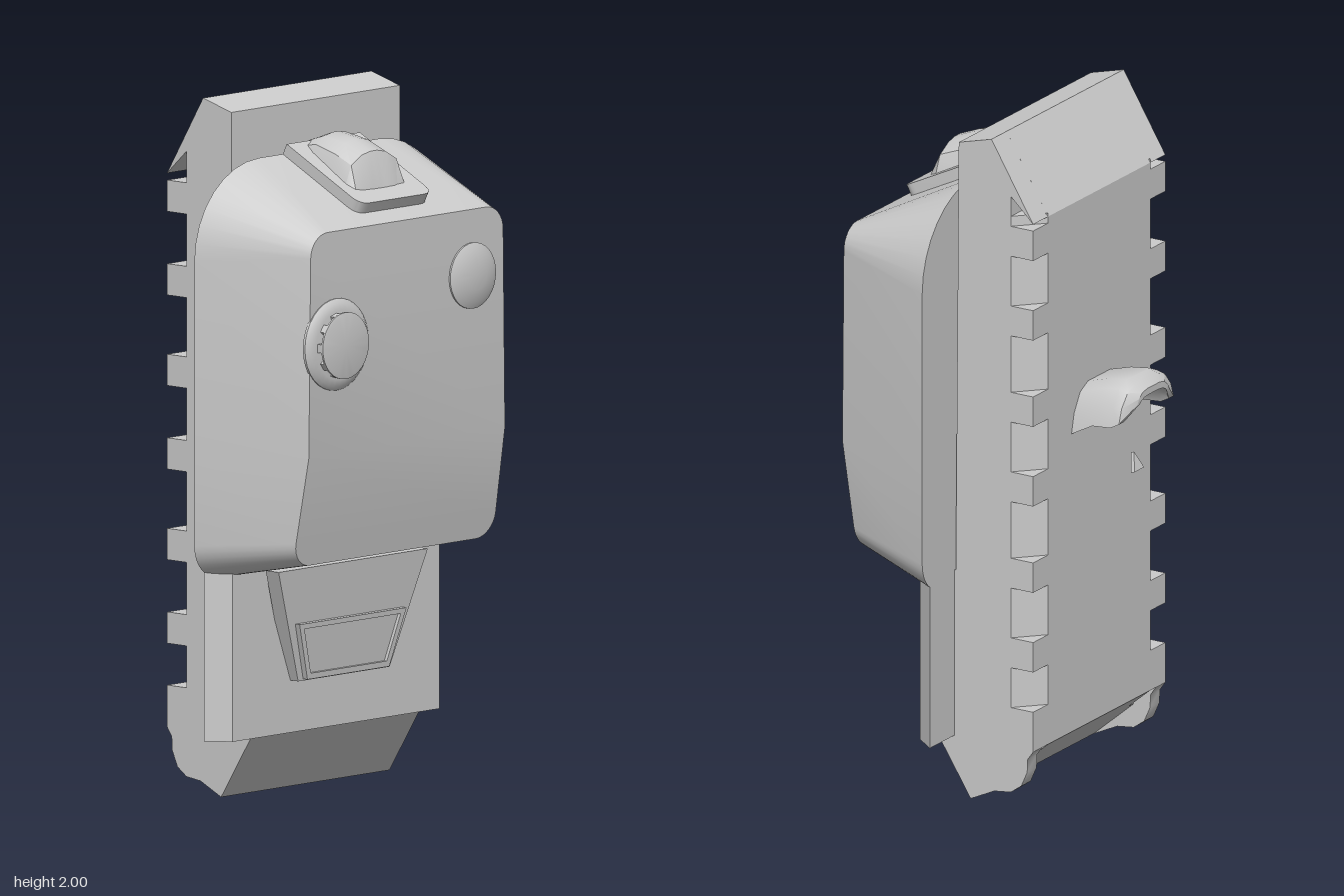
import * as THREE from 'three';
import { toCreasedNormals } from 'three/addons/utils/BufferGeometryUtils.js';

export function createModel() {
  const model = new THREE.Group();
  const grey = new THREE.MeshStandardMaterial({ color: 0xcccccc });

  function add(name, geometry, crease = 0.6) {
    const mesh = new THREE.Mesh(toCreasedNormals(geometry, crease), grey);
    mesh.name = name;
    model.add(mesh);
    return mesh;
  }
  const shapeOf = (pts) => new THREE.Shape(pts.map(([a, b]) => new THREE.Vector2(a, b)));
  const extrude = (shape, depth) =>
    new THREE.ExtrudeGeometry(shape, { depth, bevelEnabled: false, curveSegments: 6 });
  // Side profile given as [z, y], spanning x0..x1
  const acrossX = (pts, x0, x1) =>
    extrude(shapeOf(pts), x1 - x0).rotateY(-Math.PI / 2).translate(x1, 0, 0);
  // Plan profile given as [x, z], spanning y0..y1
  const alongY = (pts, y0, y1) =>
    extrude(shapeOf(pts), y1 - y0).rotateX(Math.PI / 2).translate(0, y1, 0);

  // Joins matching counter-clockwise loops from back to front; caps are strips of paired points
  function loft(loops) {
    const n = loops[0].length, index = [];
    const quad = (a, b, c, d) => index.push(a, b, c, a, c, d);
    for (let s = 0; s < loops.length - 1; s++)
      for (let i = 0; i < n; i++) {
        const j = (i + 1) % n, o = s * n;
        quad(o + i, o + j, o + n + j, o + n + i);
      }
    const f = (loops.length - 1) * n;
    for (let i = 0; i < n / 2 - 1; i++) {
      quad(f + i, f + i + 1, f + n - 2 - i, f + n - 1 - i);
      quad(n - 1 - i, n - 2 - i, i + 1, i);
    }
    const g = new THREE.BufferGeometry();
    g.setAttribute('position', new THREE.Float32BufferAttribute(loops.flat(2), 3));
    g.setIndex(index);
    return g;
  }
  // Completes the right half of a loop (bottom to top) with its mirror image
  const mirrored = (half) => [...half, ...half.map(([x, y, z]) => [-x, y, z]).reverse()];

  // Back slab: solid core
  add('backSlab', acrossX([[-0.02, 0], [0.095, 0.18], [0.095, 0.66], [0.03, 0.68], [0.02, 1.97],
    [-0.09, 2], [-0.23, 1.77], [-0.23, 0.18]], -0.27, 0.27), 0.2);

  // Slab edges with rows of diagonal notches
  const teeth = [[0.18, 0.3], [0.42, 0.51], [0.66, 0.75], [0.92, 1.01], [1.16, 1.25], [1.42, 1.51], [1.66, 1.75]];
  for (const s of [-1, 1]) {
    const x0 = s > 0 ? 0.27 : -0.35, x1 = x0 + 0.08;
    add('slabEdge', acrossX([[-0.02, 0], [0.095, 0.18], [0.095, 0.66], [0.03, 0.68], [0.02, 1.97],
      [-0.09, 2], [-0.155, 1.893], [-0.155, 0.116]], x0, x1), 0.2);
    add('notchFloor', alongY([[s * 0.27, -0.155], [s * 0.27, -0.23], [s * 0.35, -0.155]], 0.18, 1.78), 0.2);
    for (const [y0, y1] of teeth)
      add('edgeTooth', acrossX([[-0.155, y0], [-0.23, y0], [-0.23, y1], [-0.155, y1]], x0, x1), 0.2);
    add('topTooth', acrossX([[-0.155, 1.84], [-0.23, 1.77], [-0.155, 1.893]], x0, x1), 0.2);
    // Rounded bottom corner
    const c0 = s > 0 ? 0.3 : -0.35;
    add('roundedFoot', acrossX([[-0.02, 0], [0, 0.2], [-0.23, 0.2], [-0.23, 0.18], [-0.212, 0.155],
      [-0.21, 0.115], [-0.19, 0.07], [-0.155, 0.045], [-0.1, 0.038]], c0, c0 + 0.05));
  }

  // Lower front block with bevelled sides
  add('lowerBlock', alongY([[-0.48, 0.035], [0.48, 0.035], [0.43, 0.1], [-0.43, 0.1]], 0.18, 0.68), 0.2);

  // Main housing: tapered shell whose face folds back below y = 1.02
  const faceZ = (y) => 0.375 - Math.max(0, 1.02 - y) * 0.172;
  function housingLoop(wTop, wBottom, y0, y1, rBottom, rTop, zAt) {
    const half = [];
    const arc = (cx, cy, r, start) => {
      for (let i = 0; i <= 8; i++) {
        const a = start + (i / 8) * Math.PI / 2;
        half.push([cx + r * Math.cos(a), cy + r * Math.sin(a)]);
      }
    };
    arc(wBottom - rBottom, y0 + rBottom, rBottom, -Math.PI / 2);
    half.push([(wTop + wBottom) / 2, 1.02]);
    arc(wTop - rTop, y1 - rTop, rTop, 0);
    return mirrored(half.map(([x, y]) => [x, y, zAt(y)]));
  }
  add('housing', loft([
    housingLoop(0.52, 0.52, 0.645, 1.83, 0.1, 0.27, () => 0.035),
    housingLoop(0.4, 0.415, 0.7, 1.66, 0.07, 0.07, faceZ),
  ]), 0.45);

  // Top switch: rounded plate on the slope
  const plate = new THREE.Shape();
  plate.moveTo(-0.152, 0).lineTo(-0.152, -0.28).quadraticCurveTo(-0.152, -0.32, -0.112, -0.32)
    .lineTo(0.112, -0.32).quadraticCurveTo(0.152, -0.32, 0.152, -0.28).lineTo(0.152, 0);
  add('switchPlate', extrude(plate, 0.045).rotateX(-1.107).translate(0, 1.82, 0.03));

  // Top switch: domed cap
  const dome = ([z, w, base, top]) => {
    const h = top - base;
    return mirrored([[w, base, z], [w * 0.88, base + h * 0.45, z], [w * 0.72, base + h * 0.78, z],
      [w * 0.38, base + h * 0.95, z], [w * 0.1, top, z]]);
  };
  add('switchCap', loft([[0.035, 0.115, 1.78, 1.862], [0.1, 0.12, 1.76, 1.885], [0.18, 0.125, 1.72, 1.872],
    [0.246, 0.13, 1.7, 1.845], [0.292, 0.128, 1.7, 1.722]].map(dome)), 0.6);

  // Round buttons on the face
  const disc = (pts, x, y) => new THREE.LatheGeometry(pts.map(([r, h]) => new THREE.Vector2(r, h)), 32)
    .rotateX(Math.PI / 2).translate(x, y, 0.37);
  add('smallButton', disc([[0.095, 0], [0.095, 0.01], [0.075, 0.019], [0.04, 0.026], [0, 0.028]], 0.27, 1.47));
  add('dialBase', disc([[0.132, 0], [0.132, 0.008], [0.12, 0.018], [0.1, 0.022], [0, 0.022]], -0.295, 1.335));
  add('dialCap', disc([[0, 0.038], [0.096, 0.038], [0.096, 0.044], [0.088, 0.046], [0, 0.046]], -0.295, 1.335));
  for (let i = 0; i < 10; i++) {
    const post = add('dialPost', new THREE.BoxGeometry(0.012, 0.024, 0.03));
    const a = (i / 10) * Math.PI * 2;
    post.position.set(-0.295 + 0.088 * Math.cos(a), 1.335 + 0.088 * Math.sin(a), 0.397);
    post.rotation.z = a;
  }

  // Front latch: leaning wedge plate with a raised rim
  const trapezoid = (wTop, wBottom, y1, y0) => [[-wBottom, y0], [wBottom, y0], [wTop, y1], [-wTop, y1]];
  function lean(g) {
    const p = g.attributes.position;
    for (let i = 0; i < p.count; i++) p.setZ(i, p.getZ(i) + (p.getY(i) - 0.33) * 0.11);
    return g;
  }
  add('latchPlate', lean(extrude(shapeOf(trapezoid(0.31, 0.19, 0.66, 0.33)), 0.05).translate(0, 0, 0.08)), 0.2);
  const rim = shapeOf(trapezoid(0.222, 0.17, 0.5, 0.335));
  rim.holes.push(shapeOf(trapezoid(0.2, 0.158, 0.485, 0.352)));
  add('latchRim', lean(extrude(rim, 0.022).translate(0, 0, 0.125)), 0.2);
  add('latchPanel', lean(extrude(shapeOf(trapezoid(0.2, 0.158, 0.485, 0.352)), 0.012).translate(0, 0, 0.125)), 0.2);

  // Rear hook: arched strap reaching backwards
  const arch = ([z, w, hi, lo, t]) => {
    const outer = [[1, 0], [0.9, 0.45], [0.68, 0.85], [0.4, 1], [-0.4, 1], [-0.68, 0.85], [-0.9, 0.45], [-1, 0]]
      .map(([x, k]) => [x * w, lo + (hi - lo) * k, z]);
    const inner = outer.map(([x, y]) => [x * 0.82, y - t * (y - lo) / (hi - lo), z]).reverse();
    return [...outer, ...inner];
  };
  add('rearHook', loft([[-0.412, 0.085, 1.215, 1.18, 0.02], [-0.388, 0.145, 1.23, 1.135, 0.045],
    [-0.36, 0.147, 1.24, 1.12, 0.055], [-0.3, 0.147, 1.232, 1.115, 0.06],
    [-0.225, 0.147, 1.21, 1.075, 0.06]].map(arch)), 0.6);

  // Small triangular pointer below the hook
  const pointer = add('pointer', extrude(shapeOf([[-0.026, -0.027], [0.026, -0.027], [0, 0.027]]), 0.012));
  pointer.position.set(0, 0.977, -0.356);
  pointer.rotation.x = 0.32;

  return model;
}
